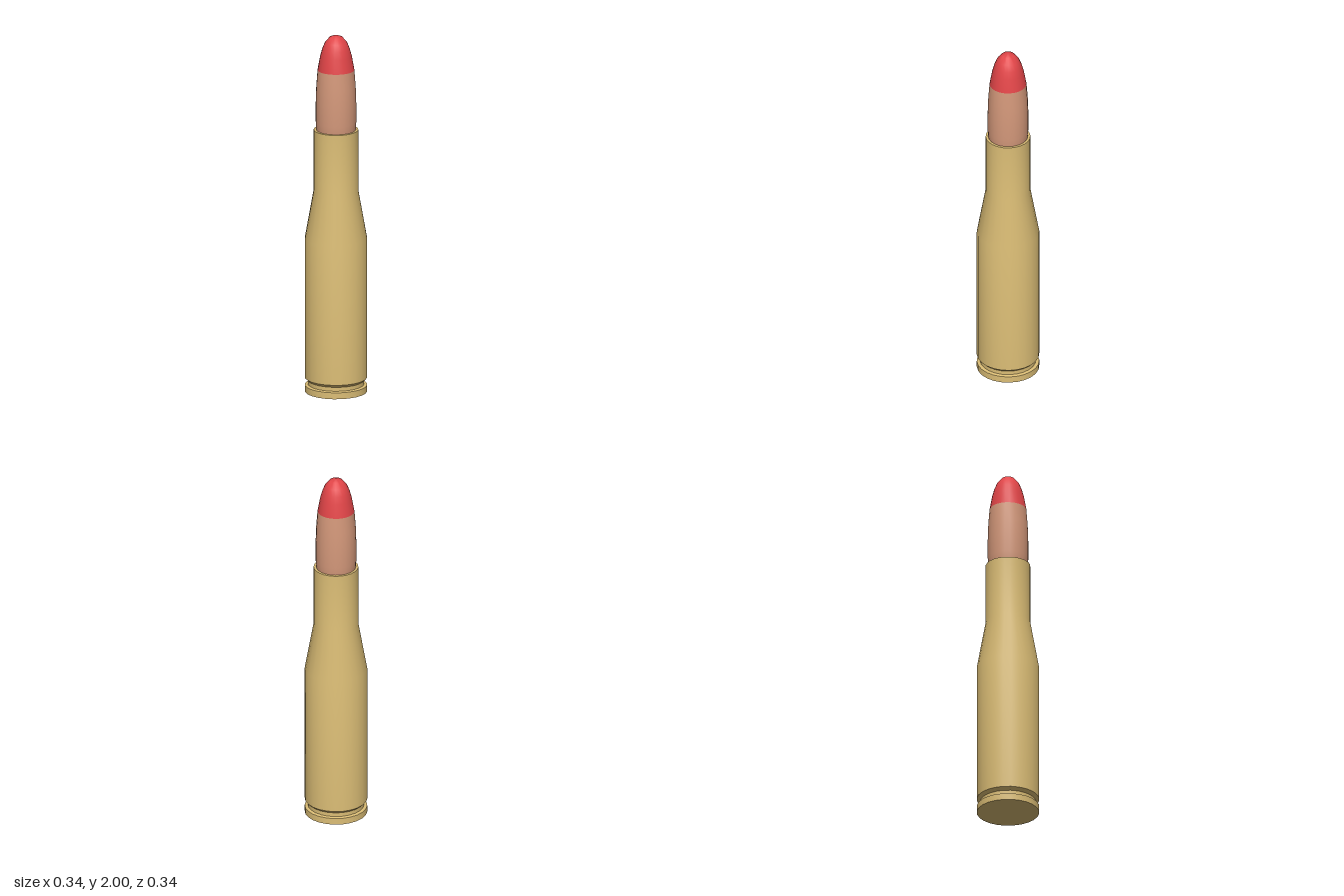
import * as THREE from 'three';
import { toCreasedNormals } from 'three/addons/utils/BufferGeometryUtils.js';

const SIDES = 24;

function material(name, color) {
  const m = new THREE.MeshStandardMaterial({ color });
  m.name = name;
  return m;
}

// Turns a list of [radius, height] points, bottom to top, around the y axis
function turned(name, profile, mat, crease = 0.6) {
  const points = profile.map(([r, y]) => new THREE.Vector2(r, y));
  const geometry = toCreasedNormals(new THREE.LatheGeometry(points, SIDES), crease);
  const mesh = new THREE.Mesh(geometry, mat);
  mesh.name = name;
  return mesh;
}

export function createModel() {
  const brass = material('brass', 0xdcbe76);
  const copper = material('copper', 0xd5997b);
  const red = material('red', 0xe24548);

  const model = new THREE.Group();
  model.name = 'cartridge';

  // Rim with a flat base, extraction groove, then the body, shoulder and neck
  model.add(turned('rim', [[0, 0], [0.169, 0], [0.169, 0.036], [0.152, 0.04]], brass));
  model.add(turned('groove', [[0.152, 0.036], [0.152, 0.062], [0.169, 0.078]], brass));
  model.add(turned('case', [
    [0.169, 0.078], [0.169, 0.86], [0.121, 1.13], [0.121, 1.468], [0.1, 1.468],
  ], brass));

  // Jacket seated in the neck
  model.add(turned('jacket', [
    [0.105, 1.45], [0.108, 1.475], [0.11, 1.51], [0.11, 1.62], [0.107, 1.71], [0.1, 1.803],
  ], copper));

  // Rounded painted tip
  model.add(turned('tip', [
    [0.1, 1.803], [0.086, 1.88], [0.075, 1.92], [0.06, 1.957], [0.035, 1.987], [0, 2],
  ], red, 1.0));

  return model;
}
